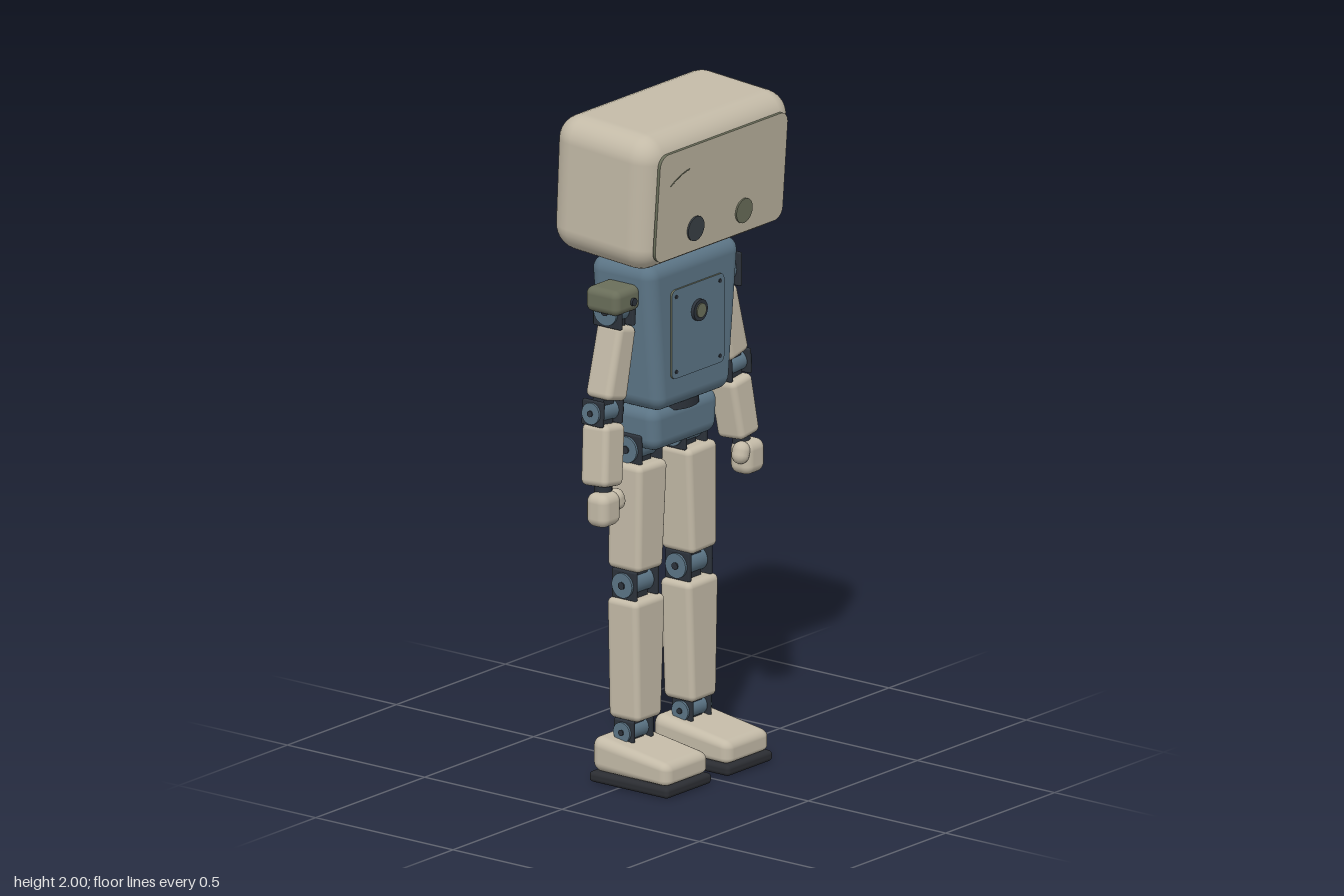
import * as THREE from 'three';
import { RoundedBoxGeometry } from 'three/addons/geometries/RoundedBoxGeometry.js';

const material = (name, color) => {
  const m = new THREE.MeshStandardMaterial({ color });
  m.name = name;
  return m;
};

export function createModel() {
  const cream = material('cream shell', 0xc3baa7);
  const panel = material('face panel', 0xbcb49f);
  const blue = material('slate blue', 0x5b7485);
  const dark = material('dark metal', 0x2c323a);
  const olive = material('olive', 0x6a6e5a);
  const eyeDark = material('dark eye', 0x3a4046);
  const sole = material('sole rubber', 0x2b2d32);

  const model = new THREE.Group();
  model.name = 'robot';

  const add = (parent, name, geometry, mat, x = 0, y = 0, z = 0) => {
    const mesh = new THREE.Mesh(geometry, mat);
    mesh.name = name;
    mesh.position.set(x, y, z);
    parent.add(mesh);
    return mesh;
  };
  const group = (parent, name, x = 0, y = 0, z = 0) => {
    const g = new THREE.Group();
    g.name = name;
    g.position.set(x, y, z);
    parent.add(g);
    return g;
  };

  // Rounded box whose width (and depth) changes linearly from bottom to top
  const taperedBox = (wTop, wBottom, h, d, r, dBottom = d) => {
    const geo = new RoundedBoxGeometry(wTop, h, d, 4, r);
    const p = geo.attributes.position;
    for (let i = 0; i < p.count; i++) {
      const t = p.getY(i) / h + 0.5;
      p.setX(i, p.getX(i) * THREE.MathUtils.lerp(wBottom / wTop, 1, t));
      p.setZ(i, p.getZ(i) * THREE.MathUtils.lerp(dBottom / d, 1, t));
    }
    return geo;
  };

  // Tapered limb shell between two points
  const limb = (parent, name, top, bottom, wTop, wBottom, d) => {
    const a = new THREE.Vector3(...top), b = new THREE.Vector3(...bottom);
    const dir = a.clone().sub(b);
    const mesh = add(parent, name, taperedBox(wTop, wBottom, dir.length(), d, 0.018), cream);
    mesh.position.copy(a).add(b).multiplyScalar(0.5);
    mesh.quaternion.setFromUnitVectors(new THREE.Vector3(0, 1, 0), dir.normalize());
  };

  const xCylinder = (r, w, sides = 28) =>
    new THREE.CylinderGeometry(r, r, w, sides).rotateZ(Math.PI / 2);
  const zCylinder = (r, w, sides = 28) =>
    new THREE.CylinderGeometry(r, r, w, sides).rotateX(Math.PI / 2);

  // Hinge: drum between two side plates, with capped bolts and a shank
  const hinge = (parent, name, x, y, z, half, r, tilt = 0) => {
    const g = group(parent, name, x, y, z);
    g.rotation.z = tilt;
    add(g, 'hinge drum', xCylinder(r * 0.82, half * 1.7), blue);
    add(g, 'hinge shank', new THREE.BoxGeometry(half * 0.9, r * 2.6, r * 1.1), dark);
    for (const s of [-1, 1]) {
      add(g, 'side plate', new RoundedBoxGeometry(0.014, r * 2.1, r * 2.1, 2, 0.005), dark, s * half * 0.84);
      add(g, 'hinge cap', xCylinder(r * 0.88, 0.012), blue, s * (half * 0.84 + 0.008));
      add(g, 'hinge bolt', xCylinder(r * 0.26, 0.012, 12), dark, s * (half * 0.84 + 0.012));
    }
  };

  // Thin plate with rounded corners, facing +z
  const plate = (w, h, r, depth) => {
    const x = w / 2, y = h / 2;
    const s = new THREE.Shape();
    s.moveTo(-x + r, -y);
    s.lineTo(x - r, -y).absarc(x - r, -y + r, r, -Math.PI / 2, 0);
    s.lineTo(x, y - r).absarc(x - r, y - r, r, 0, Math.PI / 2);
    s.lineTo(-x + r, y).absarc(-x + r, y - r, r, Math.PI / 2, Math.PI);
    s.lineTo(-x, -y + r).absarc(-x + r, -y + r, r, Math.PI, Math.PI * 1.5);
    return new THREE.ExtrudeGeometry(s, { depth, bevelEnabled: false, curveSegments: 6 });
  };

  // Head, nodding slightly forward
  const head = group(model, 'head', 0, 1.788, -0.003);
  head.rotation.x = 0.07;
  add(head, 'head shell', taperedBox(0.685, 0.655, 0.41, 0.364, 0.075), cream);
  add(head, 'face panel', plate(0.585, 0.325, 0.035, 0.009), [panel, olive], 0, -0.005, 0.179);
  add(head, 'right eye', zCylinder(0.037, 0.006), eyeDark, -0.113, -0.1, 0.19);
  add(head, 'left eye', zCylinder(0.037, 0.006), olive, 0.108, -0.1, 0.19);
  const scratch = new THREE.QuadraticBezierCurve3(
    new THREE.Vector3(-0.24, 0.055, 0.188), new THREE.Vector3(-0.205, 0.082, 0.188), new THREE.Vector3(-0.155, 0.09, 0.188));
  add(head, 'face scratch', new THREE.TubeGeometry(scratch, 8, 0.002, 5), olive);
  const hatch = group(head, 'side hatch', 0.333, 0.04, -0.03);
  hatch.rotation.set(0, Math.PI / 2, 0);
  add(hatch, 'hatch plate', plate(0.125, 0.16, 0.015, 0.009), [cream, olive]);
  for (const y of [-0.05, 0.05]) add(hatch, 'hatch screw', zCylinder(0.007, 0.006, 10), dark, 0, y, 0.009);

  // Neck and body
  add(model, 'neck', new THREE.CylinderGeometry(0.062, 0.062, 0.08, 28), dark, 0, 1.565, -0.015);
  add(model, 'torso', taperedBox(0.43, 0.33, 0.445, 0.23, 0.042), blue, 0, 1.337, -0.022);
  add(model, 'pelvis', taperedBox(0.31, 0.29, 0.13, 0.18, 0.036), blue, 0, 1.05, -0.03);
  add(model, 'waist', new THREE.CylinderGeometry(0.1, 0.1, 0.04, 24), dark, 0, 1.115, -0.025);

  // Chest panel with dial
  const chest = group(model, 'chest panel', 0, 1.34, 0.09);
  add(chest, 'panel plate', plate(0.24, 0.265, 0.018, 0.009), [blue, olive]);
  add(chest, 'dial ring', zCylinder(0.032, 0.014), dark, 0, 0.05, 0.012);
  add(chest, 'dial centre', zCylinder(0.021, 0.014), olive, 0, 0.05, 0.016);
  for (const x of [-0.1, 0.1]) for (const y of [-0.112, 0.112])
    add(chest, 'panel screw', zCylinder(0.006, 0.005, 10), dark, x, y, 0.009);

  // Shoulder pad on one side only
  add(model, 'shoulder pad', new RoundedBoxGeometry(0.115, 0.075, 0.12, 4, 0.022), olive, -0.252, 1.465, -0.012);
  add(model, 'pad bolt', zCylinder(0.012, 0.01, 12), dark, -0.235, 1.46, 0.05);

  for (const s of [-1, 1]) {
    const side = s > 0 ? 'left' : 'right';

    // Arm
    const arm = group(model, side + ' arm');
    add(arm, 'shoulder axle', xCylinder(0.025, 0.1), dark, s * 0.215, 1.435, -0.012);
    hinge(arm, 'shoulder joint', s * 0.245, 1.432, -0.012, 0.035, 0.048);
    limb(arm, 'upper arm', [s * 0.23, 1.382, -0.014], [s * 0.281, 1.17, -0.014], 0.08, 0.096, 0.092);
    hinge(arm, 'elbow joint', s * 0.294, 1.137, -0.015, 0.052, 0.036, s * 0.08);
    limb(arm, 'forearm', [s * 0.29, 1.1, -0.015], [s * 0.315, 0.922, -0.002], 0.094, 0.088, 0.096);
    add(arm, 'wrist', new THREE.CylinderGeometry(0.026, 0.026, 0.04, 16), dark, s * 0.317, 0.915, 0.005);
    add(arm, 'hand', new RoundedBoxGeometry(0.088, 0.1, 0.076, 4, 0.027), cream, s * 0.33, 0.86, 0.016);
    const thumb = add(arm, 'thumb', new THREE.CapsuleGeometry(0.026, 0.014, 6, 14), cream, s * 0.287, 0.88, 0.027);
    thumb.rotation.z = s * -0.3;

    // Leg
    const leg = group(model, side + ' leg');
    hinge(leg, 'hip joint', s * 0.103, 0.985, -0.035, 0.055, 0.044);
    limb(leg, 'thigh', [s * 0.113, 0.945, -0.03], [s * 0.124, 0.627, -0.032], 0.134, 0.116, 0.12);
    hinge(leg, 'knee joint', s * 0.123, 0.585, -0.032, 0.058, 0.042);
    limb(leg, 'shin', [s * 0.122, 0.543, -0.03], [s * 0.126, 0.182, -0.03], 0.142, 0.112, 0.112);
    hinge(leg, 'ankle joint', s * 0.134, 0.148, -0.03, 0.05, 0.034);

    // Foot: the top slopes down towards the toe
    const foot = new RoundedBoxGeometry(0.2, 0.105, 0.28, 4, 0.03);
    const p = foot.attributes.position, n = foot.attributes.normal;
    const slope = 0.16;
    for (let i = 0; i < p.count; i++) {
      const t = p.getY(i) / 0.105 + 0.5;
      p.setY(i, p.getY(i) - slope * t * (p.getZ(i) + 0.12));
      if (n.getY(i) > 0) n.setZ(i, n.getZ(i) + slope * n.getY(i));
    }
    foot.normalizeNormals();
    add(leg, 'foot', foot, cream, s * 0.14, 0.083, 0.035);
    add(leg, 'sole', new RoundedBoxGeometry(0.208, 0.032, 0.288, 3, 0.012), sole, s * 0.14, 0.016, 0.036);
  }
  return model;
}
